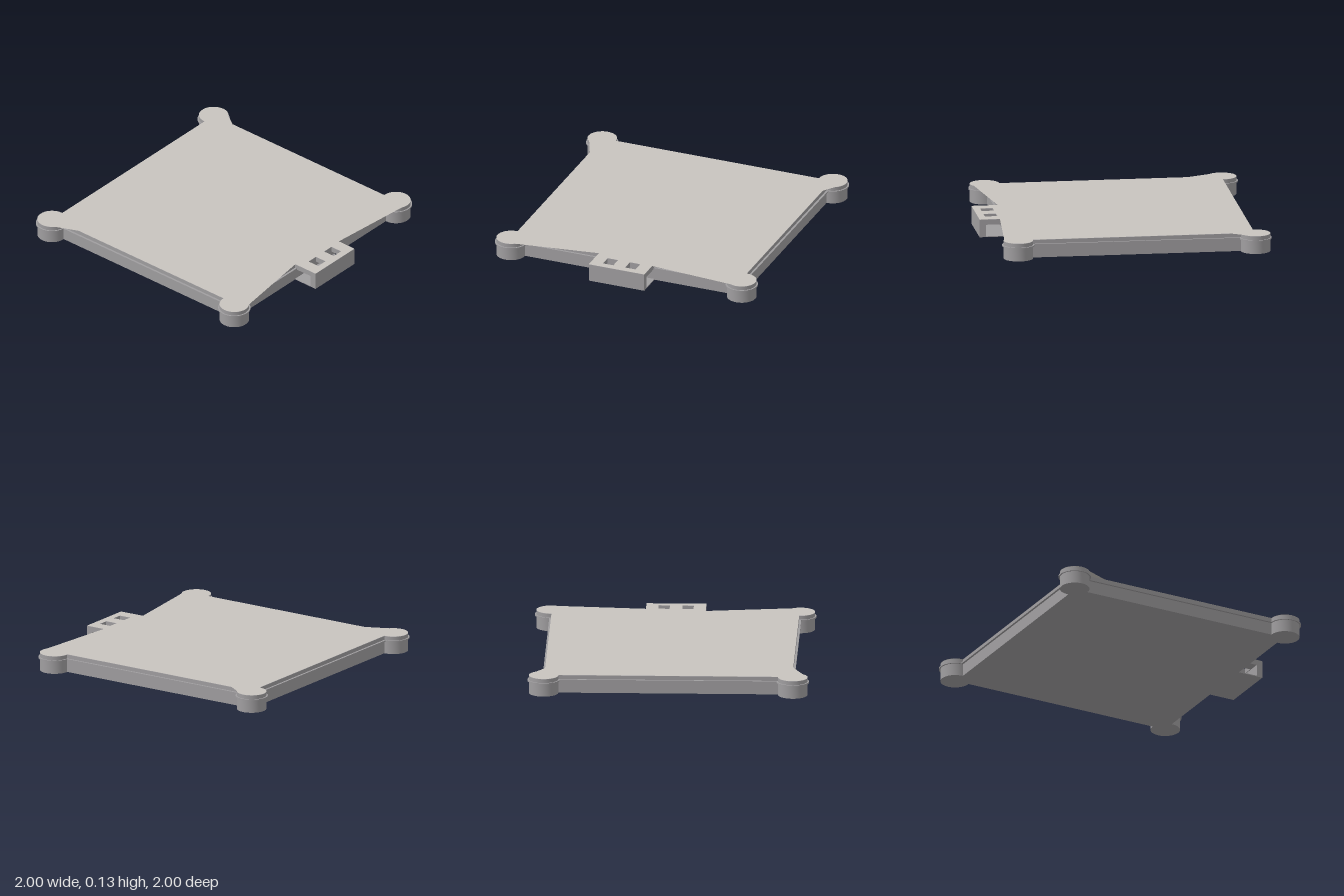
import * as THREE from 'three';
import { toCreasedNormals } from 'three/addons/utils/BufferGeometryUtils.js';

const X = 0.885, BACK = 0.885, FRONT = -0.815; // corner post centres (plan y = -z)
const R = 0.105;
const CORNERS = [[X, BACK], [-X, BACK], [-X, FRONT], [X, FRONT]];

function arc([cx, cy], r, from, to, n = 32) {
  const pts = [];
  for (let i = 0; i <= n; i++) {
    const a = from + (to - from) * i / n;
    pts.push(new THREE.Vector2(cx + r * Math.cos(a), cy + r * Math.sin(a)));
  }
  return pts;
}

// Square plan with a round lobe on each corner; d moves the straight edges outward
function lobedPlan(d, r) {
  const a = Math.asin(d / r);
  return new THREE.Shape(CORNERS.flatMap((c, i) =>
    arc(c, r, (i - 1) * Math.PI / 2 + a, (i + 2) * Math.PI / 2 - a)));
}

function rect(Kind, x0, x1, z0, z1) {
  return new Kind([[x0, -z1], [x1, -z1], [x1, -z0], [x0, -z0]].map(p => new THREE.Vector2(...p)));
}

// Two windows in the connector
const windows = () => [-0.085, 0.085].map(x => rect(THREE.Path, x - 0.04, x + 0.04, 0.86, 0.95));

export function createModel() {
  const group = new THREE.Group();
  const grey = new THREE.MeshStandardMaterial({ color: 0xa09ea0 });
  grey.name = 'grey';
  const paleGrey = new THREE.MeshStandardMaterial({ color: 0xc8c4be, side: THREE.DoubleSide });
  paleGrey.name = 'pale grey';

  function add(name, geometry, material, y = 0) {
    const mesh = new THREE.Mesh(geometry, material);
    mesh.name = name;
    mesh.position.y = y;
    group.add(mesh);
  }
  function slab(name, shape, y0, y1) {
    const g = new THREE.ExtrudeGeometry(shape, { depth: y1 - y0, bevelEnabled: false });
    g.rotateX(-Math.PI / 2);
    add(name, toCreasedNormals(g, 0.6), grey, y0);
  }

  // Tray, thin flange and lid, stacked
  slab('tray', lobedPlan(-0.005, R), 0, 0.09);
  slab('flange', lobedPlan(0.01, 0.115), 0.09, 0.1);
  slab('lid', lobedPlan(-0.005, R), 0.1, 0.128);

  // Connector: open-ended channel with a windowed roof
  const roof = rect(THREE.Shape, -0.213, 0.213, 0.81, 1);
  roof.holes = windows();
  slab('connectorRoof', roof, 0.09, 0.128);
  slab('connectorFrontWall', rect(THREE.Shape, -0.213, 0.213, 0.955, 1), 0, 0.09);
  slab('connectorFloor', rect(THREE.Shape, -0.213, 0.213, 0.81, 0.955), 0, 0.006);

  // Pale top sheet, with slanted edges bridging some lobes
  const deg = Math.PI / 180;
  const v = (x, y) => new THREE.Vector2(x, y);
  const sheet = new THREE.Shape([
    v(0.88, 0.705),
    ...arc(CORNERS[0], R, -58 * deg, 183 * deg),
    ...arc(CORNERS[1], R, -3 * deg, 230 * deg),
    v(-0.88, 0.64),
    ...arc(CORNERS[2], R, 87 * deg, 306 * deg),
    v(-0.213, -0.812), v(-0.213, -1), v(0.213, -1), v(0.213, -0.855),
    ...arc(CORNERS[3], R, 245 * deg, 453 * deg),
  ]);
  sheet.holes = windows();
  add('topSheet', new THREE.ShapeGeometry(sheet).rotateX(-Math.PI / 2), paleGrey, 0.13);

  return group;
}
